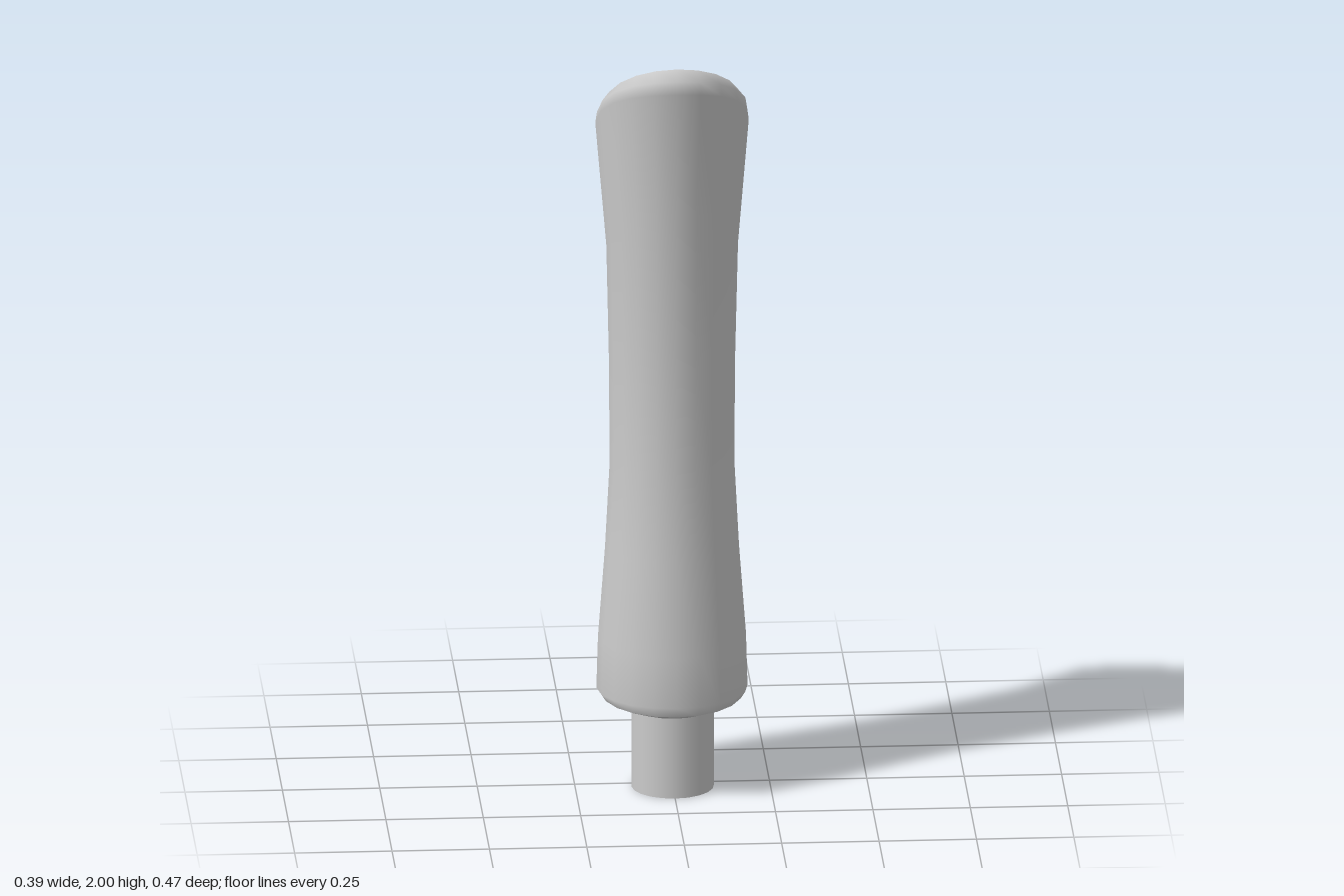
import * as THREE from 'three';

const SIDES = 20;

// Skins a stack of closed, tilted oval rings.
// Ring: [front z, front y, back z, back y, half width, side y]
function loft(rings, tip) {
  const pos = [], index = [];
  for (const [zf, yf, zb, yb, w, ym] of rings) {
    for (let j = 0; j < SIDES; j++) {
      const a = (j / SIDES) * Math.PI * 2, c = Math.cos(a);
      const y = ym + ((yf - yb) / 2) * c + ((yf + yb) / 2 - ym) * c * c;
      pos.push(w * Math.sin(a), y, (zf + zb) / 2 + ((zf - zb) / 2) * c);
    }
  }
  for (let i = 0; i < rings.length - 1; i++) {
    for (let j = 0; j < SIDES; j++) {
      const k = (j + 1) % SIDES;
      const a = i * SIDES + j, b = i * SIDES + k;
      index.push(a, b, a + SIDES, b, b + SIDES, a + SIDES);
    }
  }
  // close the last ring with a fan
  if (tip) {
    const base = (rings.length - 1) * SIDES, n = pos.length / 3;
    pos.push(...tip);
    for (let j = 0; j < SIDES; j++) index.push(base + j, base + ((j + 1) % SIDES), n);
  }
  const g = new THREE.BufferGeometry();
  g.setAttribute('position', new THREE.Float32BufferAttribute(pos, 3));
  g.setIndex(index);
  g.computeVertexNormals();
  return g;
}

export function createModel() {
  const group = new THREE.Group();
  const material = new THREE.MeshStandardMaterial({ color: 0xcccccc, side: THREE.DoubleSide });
  const add = (name, geometry) => {
    const mesh = new THREE.Mesh(geometry, material);
    mesh.name = name;
    group.add(mesh);
    return mesh;
  };

  // waisted grip, flaring into a slanted, softly rimmed end face
  const lowerEdge = [0.185, 0.238, -0.198, 0.25, 0.182, 0.243];
  add('grip', loft([
    lowerEdge,
    [0.196, 0.265, -0.201, 0.258, 0.194, 0.26],
    [0.196, 0.40, -0.196, 0.40, 0.19, 0.40],
    [0.178, 0.65, -0.178, 0.63, 0.172, 0.64],
    [0.166, 0.90, -0.167, 0.84, 0.16, 0.87],
    [0.174, 1.22, -0.172, 1.08, 0.162, 1.15],
    [0.196, 1.60, -0.181, 1.35, 0.169, 1.46],
    [0.236, 1.94, -0.234, 1.55, 0.197, 1.79],
    [0.236, 1.975, -0.226, 1.595, 0.193, 1.82],
    [0.208, 2.0, -0.19, 1.675, 0.174, 1.847],
    [0.18, 1.979, -0.165, 1.699, 0.153, 1.843],
  ], [0, 1.843, 0.01]));

  // shallow sloping underside with a crisp edge
  add('underside', loft([
    [0.13, 0.216, -0.08, 0.216, 0.105, 0.216],
    lowerEdge,
  ]));

  // open tube the grip sits on
  const stem = add('stem', new THREE.CylinderGeometry(0.106, 0.106, 0.22, SIDES, 1, true));
  stem.position.set(0, 0.11, 0.024);

  return group;
}
